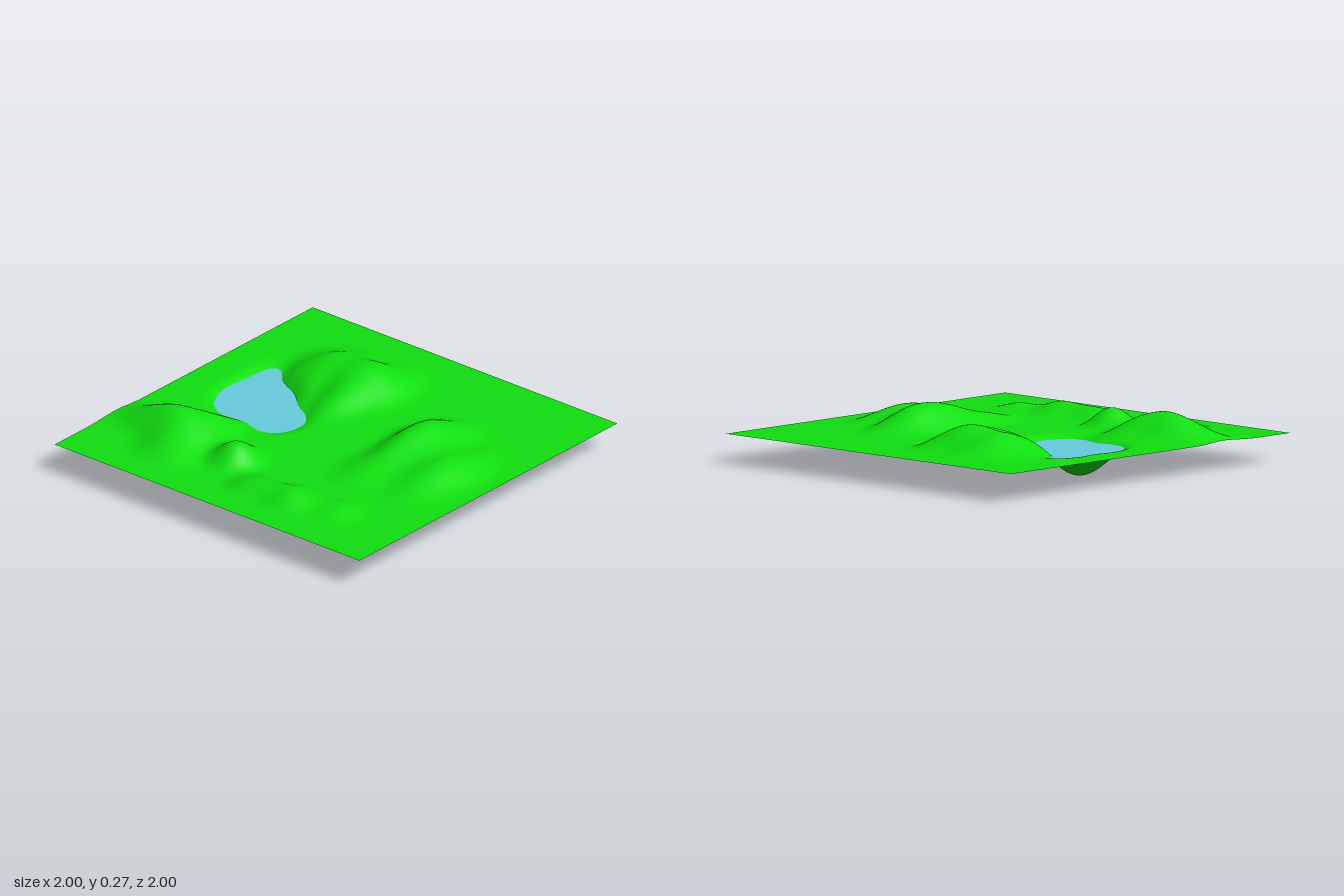
import * as THREE from 'three';

const GROUND = 0.145;

// Each bump: centre x, centre z, height (negative digs), radius x, radius z
const bumps = [
  // front ridge and its shoulder
  [0.18, 0.43, 0.125, 0.45, 0.28],
  [-0.15, 0.42, 0.05, 0.4, 0.27],
  [0.0, 0.7, 0.08, 0.5, 0.27],
  // hill to the right of the lake
  [0.5, -0.17, 0.095, 0.4, 0.27],
  [0.5, -0.42, 0.1, 0.4, 0.36],
  [0.23, -0.2, 0.045, 0.25, 0.2],
  // back mountain with spurs
  [-0.48, -0.63, 0.125, 0.3, 0.44],
  [-0.55, -0.9, 0.015, 0.25, 0.25],
  [-0.31, -0.5, 0.03, 0.2, 0.2],
  [-0.7, -0.5, 0.05, 0.22, 0.28],
  // sharp peak and low side hills
  [-0.54, -0.2, 0.095, 0.22, 0.2],
  [-0.7, 0.3, 0.06, 0.22, 0.26],
  [-0.72, 0.08, 0.045, 0.2, 0.22],
  [-0.65, 0.55, 0.03, 0.2, 0.2],
  // lake basin with a front bay and a side arm
  [0.08, -0.58, -0.145, 0.32, 0.28],
  [-0.03, -0.33, -0.06, 0.28, 0.21],
  [-0.09, -0.52, -0.03, 0.2, 0.3],
  [0.3, -0.69, -0.035, 0.25, 0.17],
];

function heightAt(x, z) {
  let y = GROUND;
  for (const [cx, cz, h, rx, rz] of bumps) {
    const d = ((x - cx) / rx) ** 2 + ((z - cz) / rz) ** 2;
    if (d < 1) y += h * (1 - d) ** 3;
  }
  return Math.max(y, 0);
}

export function createModel() {
  const model = new THREE.Group();
  model.name = 'landscape';

  // Rolling terrain
  const land = new THREE.PlaneGeometry(2, 2, 128, 128).rotateX(-Math.PI / 2);
  const pos = land.attributes.position;
  for (let i = 0; i < pos.count; i++) {
    pos.setY(i, heightAt(pos.getX(i), pos.getZ(i)));
  }
  land.computeVertexNormals();
  const terrain = new THREE.Mesh(land, new THREE.MeshStandardMaterial({ color: 0x10e010, side: THREE.DoubleSide }));
  terrain.name = 'terrain';
  model.add(terrain);

  // Square water sheet, seen only where the basin dips below it
  const sheet = new THREE.PlaneGeometry(0.8, 0.8).rotateX(-Math.PI / 2);
  const water = new THREE.Mesh(sheet, new THREE.MeshStandardMaterial({ color: 0x66ccdd, side: THREE.DoubleSide }));
  water.name = 'lakeWater';
  water.position.set(0.07, 0.126, -0.49);
  model.add(water);

  return model;
}
